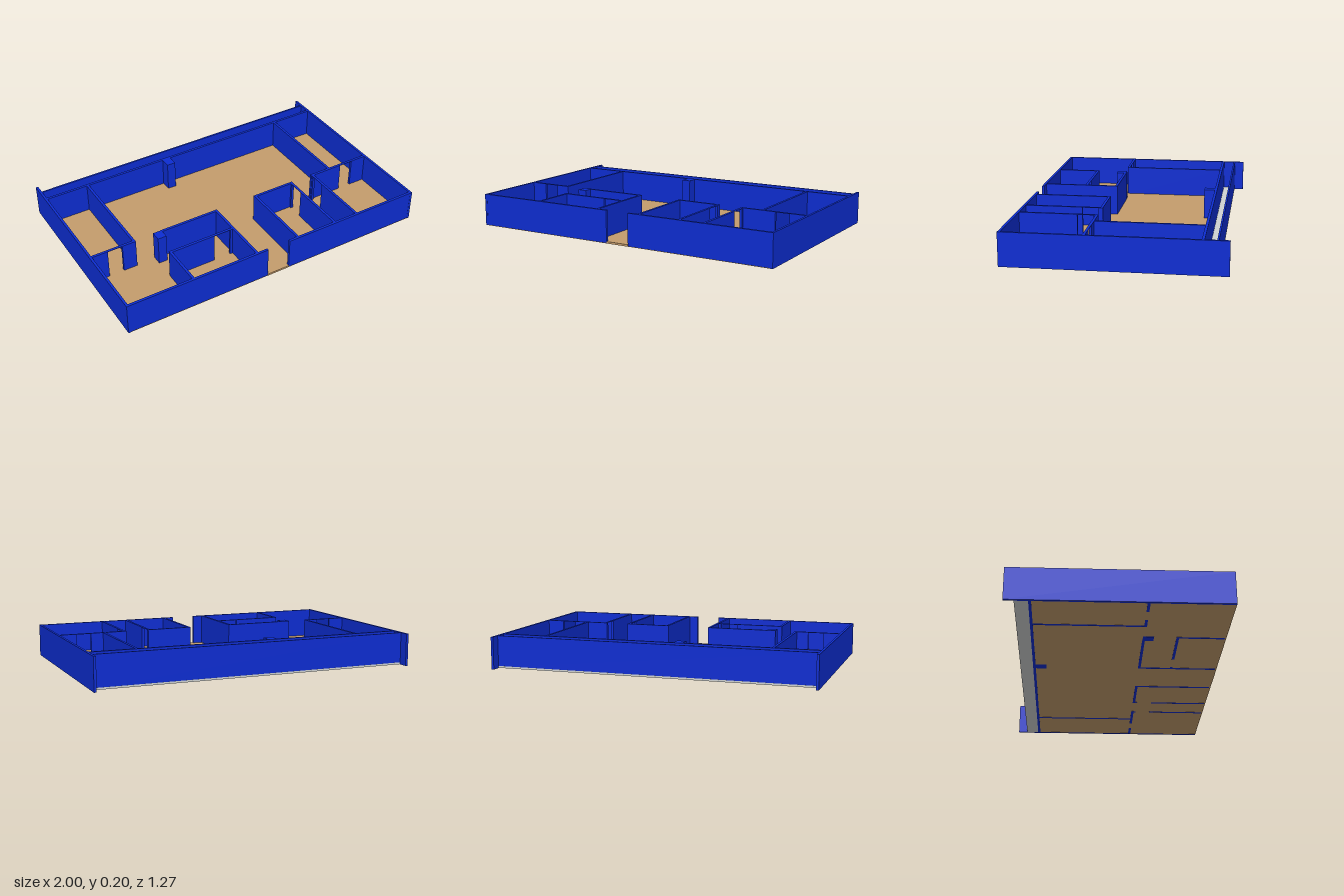
import * as THREE from 'three';

const H = 0.2;    // wall height
const T = 0.016;  // wall thickness

export function createModel() {
  const model = new THREE.Group();
  model.name = 'floorPlan';
  const material = (name, color) => {
    const m = new THREE.MeshStandardMaterial({ color });
    m.name = name;
    return m;
  };
  const blue = material('wallBlue', 0x0d2dd2);
  const tan = material('floorTan', 0xc49c6c);
  const grey = material('balconyGrey', 0xcfd2d2);

  // Box given by its extents on each axis
  const block = (name, mat, x0, x1, y0, y1, z0, z1) => {
    const mesh = new THREE.Mesh(new THREE.BoxGeometry(x1 - x0, y1 - y0, z1 - z0), mat);
    mesh.position.set((x0 + x1) / 2, (y0 + y1) / 2, (z0 + z1) / 2);
    mesh.name = name;
    model.add(mesh);
  };

  // Wall along x or z at a fixed coordinate; an optional door leaves only a thin cap on top
  const wall = (name, axis, at, from, to, door, y0 = 0) => {
    const piece = (label, a, b, low) => {
      const h = T / 2;
      if (axis === 'x') block(label, blue, a, b, low, H, at - h, at + h);
      else block(label, blue, at - h, at + h, low, H, a, b);
    };
    if (!door) return piece(name, from, to, y0);
    piece(name, from, door[0], y0);
    piece(name, door[1], to, y0);
    piece(name + 'DoorCap', door[0], door[1], H - 0.003);
  };

  // Floors
  block('floor', tan, -0.985, 0.985, 0.001, 0.013, -0.495, 0.63);
  block('frontFloorEdge', tan, -0.99, 0.99, 0.001, 0.004, 0.62, 0.634);
  block('entranceThreshold', tan, -0.075, 0.075, 0.001, 0.013, 0.62, 0.635);
  block('balconyFloor', grey, -0.985, 0.985, 0.001, 0.013, -0.578, -0.495);

  // Outer walls
  for (const s of [-1, 1]) {
    block('sideWall', blue, s * 0.9925 - 0.0075, s * 0.9925 + 0.0075, 0, H, -0.637, 0.634);
    const [a, b] = s < 0 ? [-0.99, -0.075] : [0.075, 0.99];
    wall('frontWall', 'x', 0.625, a, b, null, 0.004);
  }
  wall('backWall', 'x', -0.492, -0.99, 0.99);
  block('balconyParapet', blue, -0.99, 0.99, 0.006, H, -0.577, -0.566);

  // Large rooms on both sides
  wall('leftRoomWall', 'z', 0.705, -0.495, 0.163);
  wall('rightRoomWall', 'z', -0.71, -0.495, 0.163);
  wall('leftRoomDoorWall', 'x', 0.155, 0.562, 0.99, [0.79, 0.88]);
  wall('rightRoomDoorWall', 'x', 0.155, -0.99, -0.702, [-0.885, -0.79]);

  // Front rooms on the left
  wall('cornerRoomWall', 'z', 0.573, 0.155, 0.625, [0.175, 0.27]);
  wall('smallRoomDoorWall', 'z', 0.41, 0.155, 0.625, [0.175, 0.27]);
  wall('smallRoomBackWall', 'x', 0.155, 0.132, 0.418);
  wall('smallRoomHallWall', 'z', 0.14, 0.155, 0.625);

  // Front rooms on the right
  wall('hallWall', 'z', -0.145, 0.147, 0.625);
  wall('alcoveBackWall', 'x', 0.155, -0.53, -0.145);
  wall('innerRoomDoorWall', 'x', 0.352, -0.58, -0.145, [-0.28, -0.17]);
  wall('innerRoomWall', 'z', -0.572, 0.352, 0.625);

  // Columns
  block('backColumn', blue, -0.173, -0.117, 0, H, -0.492, -0.418);
  block('alcoveColumn', blue, -0.58, -0.524, 0, H, 0.149, 0.213);

  return model;
}
